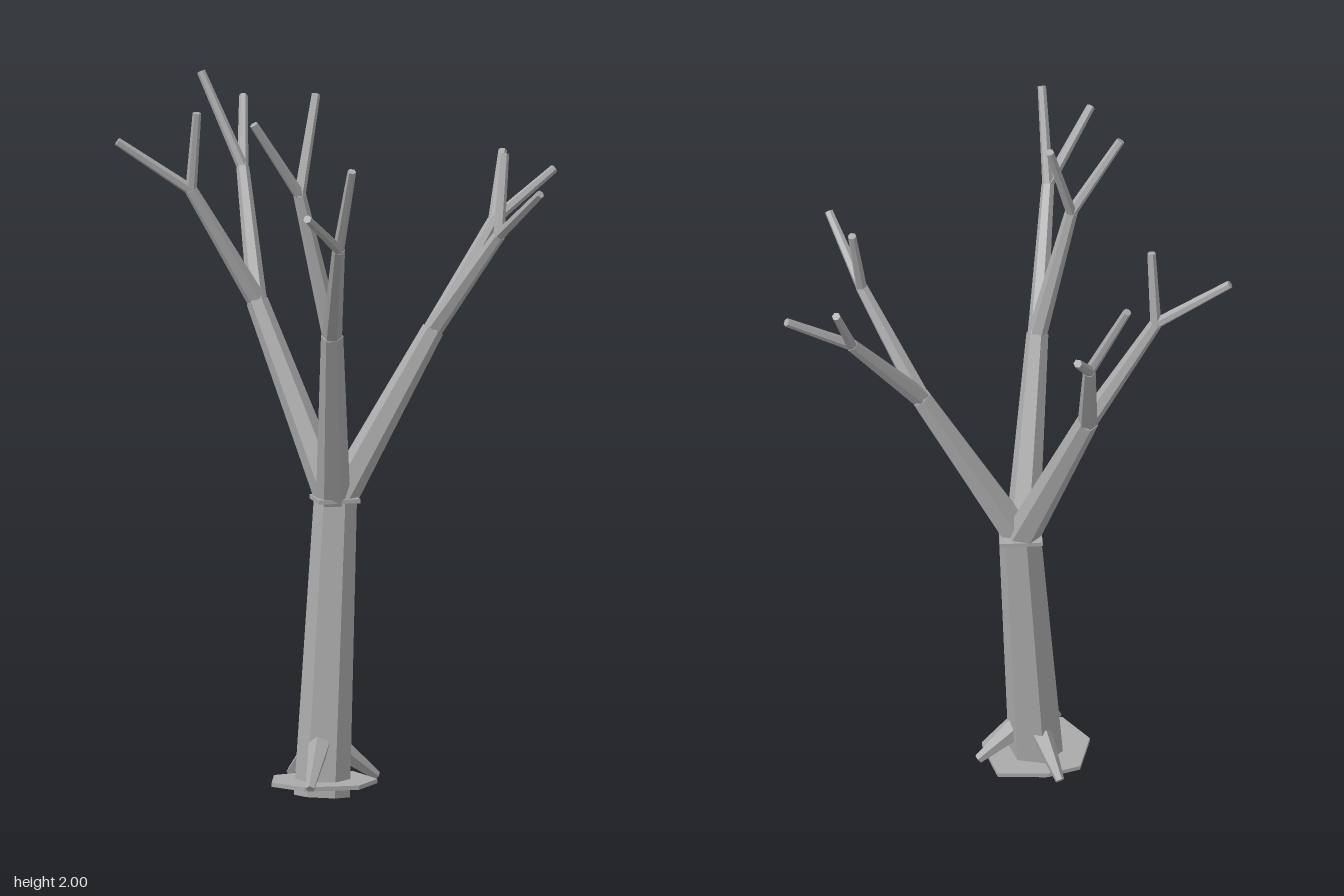
import * as THREE from 'three';

const bark = new THREE.MeshStandardMaterial({ color: 0xaaaaaa });
bark.name = 'grey bark';
const UP = new THREE.Vector3(0, 1, 0);

// Tapered faceted limb from point a to point b
function limb(name, a, b, ra, rb, sides = 6, back = 0) {
  const end = new THREE.Vector3(...b);
  const start = new THREE.Vector3(...a);
  const dir = end.clone().sub(start).normalize();
  start.addScaledVector(dir, -back);
  const geo = new THREE.CylinderGeometry(rb, ra, start.distanceTo(end), sides).rotateY(Math.PI / 12).toNonIndexed();
  geo.computeVertexNormals();
  const mesh = new THREE.Mesh(geo, bark);
  mesh.name = name;
  mesh.quaternion.setFromUnitVectors(UP, dir);
  mesh.position.copy(start).add(end).multiplyScalar(0.5);
  return mesh;
}

// Each bough: start, fork point, then two branches with two twig tips each
const boughs = [
  { name: 'leftBough', start: [-0.03, 0.84, -0.05], fork: [0.23, 1.3, -0.045], branches: [
    { fork: [0.385, 1.58, 0.1], tips: [[0.415, 1.8, 0.04], [0.465, 1.72, 0.27]] },
    { fork: [0.43, 1.58, -0.17], tips: [[0.615, 1.71, -0.23], [0.48, 1.76, -0.28]] } ] },
  { name: 'backBough', start: [-0.055, 0.84, -0.07], fork: [-0.22, 1.36, -0.27], branches: [
    { fork: [-0.41, 1.68, -0.26], tips: [[-0.615, 1.82, -0.28], [-0.4, 1.9, -0.23]] },
    { fork: [-0.21, 1.7, -0.5], tips: [[-0.165, 1.87, -0.695], [-0.31, 1.96, -0.585]] } ] },
  { name: 'frontBough', start: [-0.055, 0.84, -0.04], fork: [-0.11, 1.33, 0.195], branches: [
    { fork: [-0.158, 1.62, 0.495], tips: [[-0.29, 1.74, 0.69], [-0.15, 1.86, 0.63]] },
    { fork: [-0.205, 1.73, 0.21], tips: [[-0.345, 1.94, 0.25], [-0.14, 2.0, 0.125]] } ] },
];

export function createModel() {
  const tree = new THREE.Group();
  tree.name = 'bareTree';

  // Leaning trunk
  tree.add(limb('trunk', [-0.095, 0.007, -0.003], [-0.045, 0.83, -0.057], 0.078, 0.06));

  // Thin square collar under the fork
  const collar = new THREE.Mesh(new THREE.BoxGeometry(0.118, 0.012, 0.118), bark);
  collar.name = 'collar';
  collar.position.set(-0.046, 0.832, -0.057);
  tree.add(collar);

  // Flat irregular plate around the foot; shape y becomes -z
  const outline = [[-0.245, 0.03], [-0.175, 0.135], [-0.02, 0.135], [0.055, 0.03],
    [0.035, -0.06], [0.02, -0.12], [-0.12, -0.13], [-0.21, -0.1]];
  const shape = new THREE.Shape(outline.map(([x, z]) => new THREE.Vector2(x, -z)));
  const plate = new THREE.Mesh(
    new THREE.ExtrudeGeometry(shape, { depth: 0.012, bevelEnabled: false }).rotateX(-Math.PI / 2), bark);
  plate.name = 'footPlate';
  plate.position.y = 0.043;
  tree.add(plate);

  // Three spiked roots
  const roots = [
    [[-0.045, 0.14, -0.015], [0.07, 0.052, -0.045]],
    [[-0.11, 0.16, 0.04], [-0.162, 0.052, 0.15]],
    [[-0.105, 0.14, -0.06], [-0.15, 0.052, -0.16]],
  ];
  for (const [a, b] of roots) tree.add(limb('root', a, b, 0.032, 0.013, 5));

  // Boughs fork into branches, branches fork into twigs
  for (const { name, start, fork, branches } of boughs) {
    const bough = new THREE.Group();
    bough.name = name;
    bough.add(limb('bough', start, fork, 0.048, 0.031, 6, 0.02));
    for (const branch of branches) {
      bough.add(limb('branch', fork, branch.fork, 0.028, 0.018, 6, 0.012));
      for (const tip of branch.tips) bough.add(limb('twig', branch.fork, tip, 0.016, 0.012, 6, 0.007));
    }
    tree.add(bough);
  }
  return tree;
}
